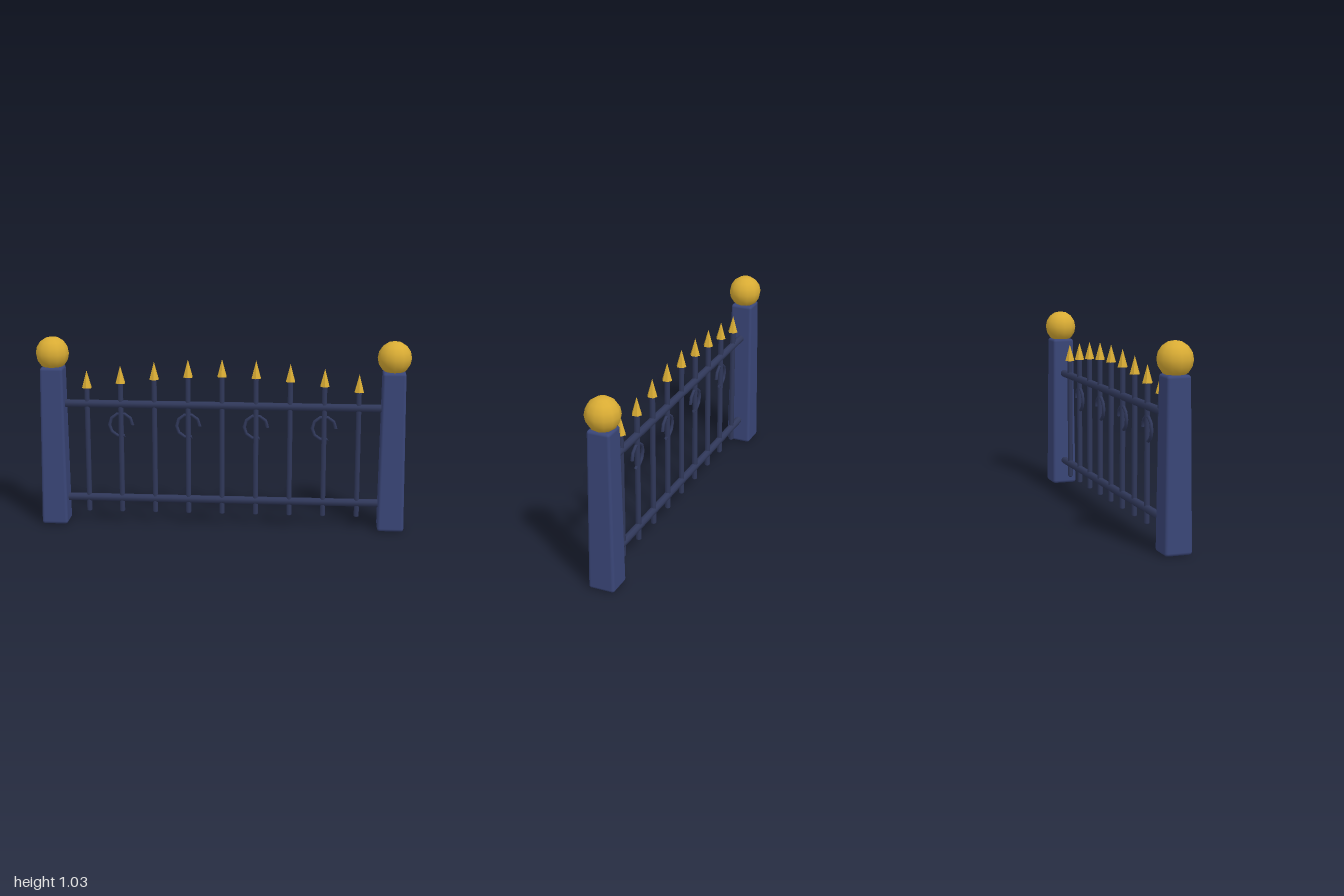
import * as THREE from 'three';
import { RoundedBoxGeometry } from 'three/addons/geometries/RoundedBoxGeometry.js';

const navy = new THREE.MeshStandardMaterial({ color: 0x3a4678 });
navy.name = 'navy post';
const iron = new THREE.MeshStandardMaterial({ color: 0x30385a });
iron.name = 'dark iron';
const gold = new THREE.MeshStandardMaterial({ color: 0xd9ac34 });
gold.name = 'gold';

function part(parent, name, geometry, material, x = 0, y = 0, z = 0) {
  const mesh = new THREE.Mesh(geometry, material);
  mesh.name = name;
  mesh.position.set(x, y, z);
  parent.add(mesh);
  return mesh;
}

// Bar with slightly chamfered ends, standing from y = 0 to y = length
function barGeometry(radius, length) {
  const c = radius * 0.45;
  const points = [[0, 0], [radius - c, 0], [radius, c], [radius, length - c], [radius - c, length], [0, length]];
  return new THREE.LatheGeometry(points.map(([r, y]) => new THREE.Vector2(r, y)), 8, Math.PI / 8);
}

// Bevelled square post that narrows towards the top
function postGeometry() {
  const height = 0.868;
  const g = new RoundedBoxGeometry(0.142, height, 0.142, 2, 0.016);
  g.translate(0, height / 2, 0);
  const p = g.attributes.position;
  for (let i = 0; i < p.count; i++) {
    const s = 1 - 0.14 * p.getY(i) / height;
    p.setX(i, p.getX(i) * s);
    p.setZ(i, p.getZ(i) * s);
  }
  return g;
}

// Faceted spear point
function spearGeometry() {
  const g = new THREE.ConeGeometry(0.028, 0.096, 6).toNonIndexed();
  g.computeVertexNormals();
  return g;
}

export function createModel() {
  const fence = new THREE.Group();
  fence.name = 'fencePanel';

  // End posts with ball finials
  const post = postGeometry();
  const ball = new THREE.SphereGeometry(0.09, 12, 8);
  for (const side of [-1, 1]) {
    const group = new THREE.Group();
    group.name = side > 0 ? 'leftPost' : 'rightPost';
    group.position.x = side * 0.912;
    part(group, 'post', post, navy);
    part(group, 'ballFinial', ball, gold, 0, 0.939, 0);
    fence.add(group);
  }

  // Horizontal rails
  const rail = barGeometry(0.021, 1.74);
  for (const [name, y] of [['lowerRail', 0.14], ['upperRail', 0.665]]) {
    part(fence, name, rail, iron, 0.87, y, 0).rotation.z = Math.PI / 2;
  }

  // Pickets whose tips rise in a gentle arch, with open scrolls on every second one
  const spear = spearGeometry();
  const arc = Math.PI * 1.6;
  const ringRadius = 0.063;
  const scroll = new THREE.TorusGeometry(ringRadius, 0.009, 6, 8, arc);
  const cap = new THREE.CircleGeometry(0.009, 6);
  for (let i = 0; i < 9; i++) {
    const x = (i - 4) * 0.1825;
    const tip = 0.848 + 0.072 * Math.sin(Math.PI * i / 8);
    const group = new THREE.Group();
    group.name = 'picket' + (i + 1);
    group.position.x = x;
    part(group, 'bar', barGeometry(0.0145, tip - 0.08 - 0.06), iron, 0, 0.06, 0);
    part(group, 'spearTip', spear, gold, 0, tip - 0.048, 0);
    if (i % 2 === 1) {
      part(group, 'scroll', scroll, iron, 0, 0.55, 0);
      part(group, 'scrollStart', cap, iron, ringRadius, 0.55, 0).rotation.x = Math.PI / 2;
      const end = part(group, 'scrollEnd', cap, iron,
        ringRadius * Math.cos(arc), 0.55 + ringRadius * Math.sin(arc), 0);
      end.lookAt(end.position.x - Math.sin(arc), end.position.y + Math.cos(arc), 0);
    }
    fence.add(group);
  }
  return fence;
}
